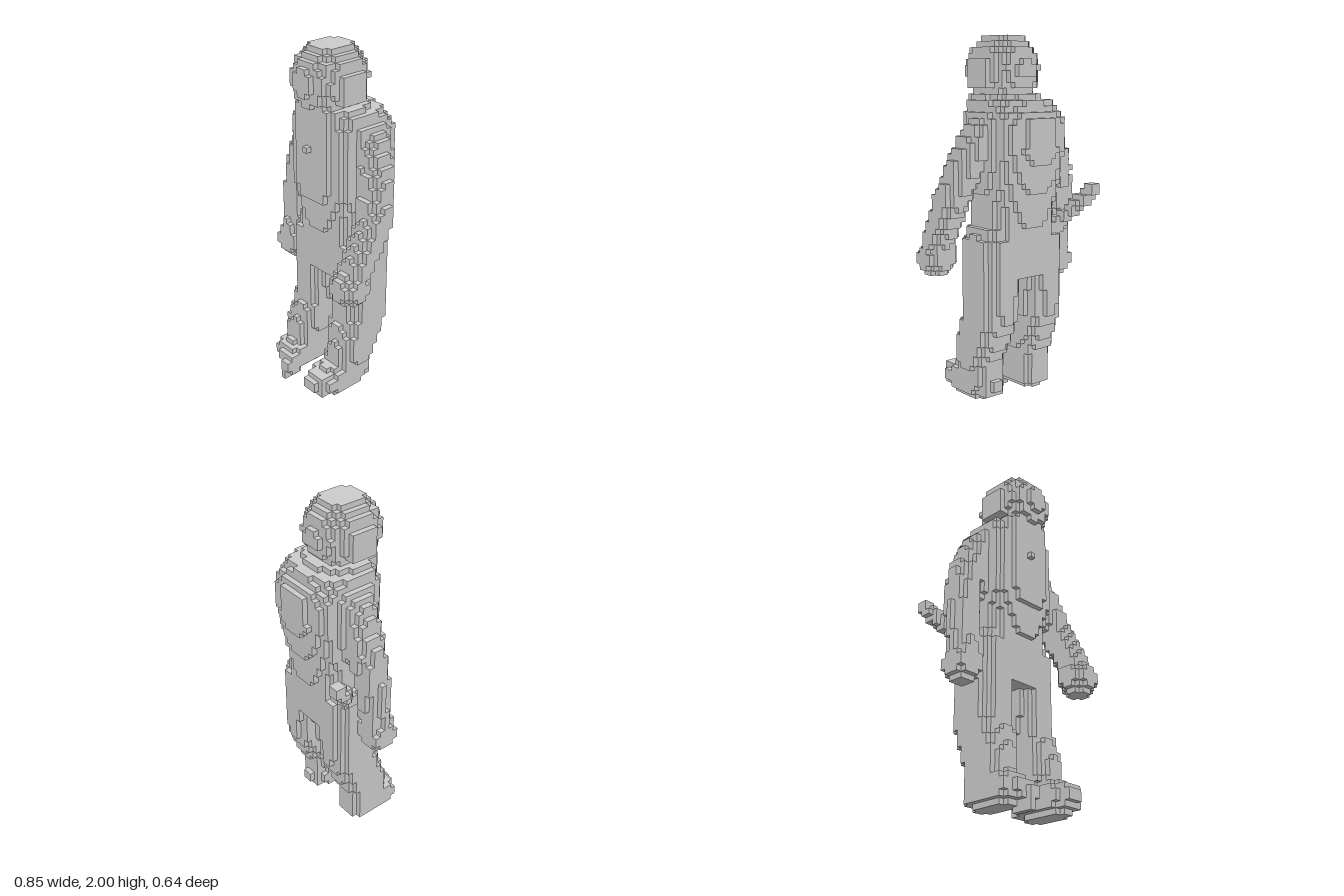
import * as THREE from 'three';

// Voxel grid: cubes of side S filling NX x NY x NZ cells
const S = 2 / 66, NX = 28, NY = 66, NZ = 21;

// Solid from stacked horizontal sections [y, centre x, centre z, radius x, radius z]
function stack(rows, n) {
  return (x, y, z) => {
    const i = rows.findIndex((row, k) => k > 0 && y >= rows[k - 1][0] && y <= row[0]);
    if (i < 0) return false;
    const a = rows[i - 1], b = rows[i];
    const t = (y - a[0]) / (b[0] - a[0]);
    const [, cx, cz, rx, rz] = a.map((v, k) => v + (b[k] - v) * t);
    return Math.abs((x - cx) / rx) ** n + Math.abs((z - cz) / rz) ** n <= 1;
  };
}

// Ellipsoid, squarer for larger n
function blob(c, r, n) {
  return (x, y, z) => Math.abs((x - c[0]) / r[0]) ** n
    + Math.abs((y - c[1]) / r[1]) ** n + Math.abs((z - c[2]) / r[2]) ** n <= 1;
}

// Round limb along a bent path, tapering from radius r0 to r1
function limb(path, r0, r1) {
  const pts = path.map((p) => new THREE.Vector3(...p));
  const bones = pts.slice(1).map((p, i) => new THREE.Line3(pts[i], p));
  const p = new THREE.Vector3(), q = new THREE.Vector3();
  return (x, y, z) => bones.some((bone, i) => {
    const t = bone.closestPointToPointParameter(p.set(x, y, z), true);
    return bone.at(t, q).distanceTo(p) <= r0 + (r1 - r0) * (i + t) / bones.length;
  });
}

// Leg narrowing from hip to ankle, side is 1 for left and -1 for right
function leg(side, ankleX) {
  return stack([
    [0.12, ankleX, 0.03, 0.085, 0.1], [0.22, ankleX, 0.045, 0.1, 0.118],
    [0.33, side * 0.17, 0.02, 0.108, 0.138], [0.5, side * 0.157, -0.04, 0.115, 0.145],
    [0.95, side * 0.145, -0.042, 0.125, 0.15]], 2.6);
}

// Every part as a name and an inside test
function makeParts() {
  const parts = [];
  const add = (name, inside) => parts.push({ name, inside, pos: [], nor: [] });

  add('head', blob([0, 1.83, 0.033], [0.176, 0.186, 0.194], 2));
  for (const [side, word] of [[1, 'left'], [-1, 'right']]) {
    add(word + 'EarPad', blob([side * 0.165, 1.805, 0.03], [0.02, 0.068, 0.075], 8));
  }

  add('torso', stack([
    [0.73, 0, -0.04, 0.265, 0.148], [0.98, 0, -0.045, 0.262, 0.16], [1.02, 0, -0.045, 0.212, 0.172],
    [1.12, 0, -0.045, 0.215, 0.185], [1.23, 0, -0.045, 0.24, 0.21], [1.4, 0, -0.06, 0.25, 0.226],
    [1.56, 0, -0.058, 0.25, 0.224], [1.66, 0, -0.02, 0.21, 0.19], [1.7, 0, 0.03, 0.145, 0.15]], 2.4));
  add('chestButton', blob([-0.5 * S, 48.5 * S, 6 * S], [S / 2, S / 2, S / 2], 2));

  add('leftArm', limb([[0.2, 1.5, -0.06], [0.29, 1.35, -0.02], [0.345, 1.15, 0.04], [0.345, 0.9, 0.17]], 0.1, 0.075));
  add('rightArm', limb([[-0.2, 1.5, -0.05], [-0.295, 1.3, -0.05], [-0.332, 1.1, -0.03], [-0.34, 0.75, 0]], 0.1, 0.07));
  add('leftHand', blob([0.33, 0.82, 0.195], [0.092, 0.092, 0.092], 2.2));
  add('rightHand', blob([-0.345, 0.765, 0], [0.085, 0.095, 0.085], 2.5));

  add('leftLeg', leg(1, 0.16));
  add('rightLeg', leg(-1, -0.185));
  add('leftFoot', blob([0.15, 0.12, 0.11], [0.093, 0.09, 0.21], 2.4));
  add('rightFoot', blob([-0.183, 0.12, 0.08], [0.102, 0.09, 0.172], 2.5));
  add('rightToe', blob([-0.13, 0.09, 0.235], [0.045, 0.06, 0.05], 2.5));
  add('rightToeTip', blob([-4.5 * S, 0.5 * S, 0.227], [S / 2, S / 2, 0.06], 6));

  add('hipRod', limb([[-0.23, 0.95, -0.1], [-0.365, 1.172, -0.285]], 0.042, 0.037));
  return parts;
}

export function createModel() {
  const group = new THREE.Group();
  const grey = new THREE.MeshStandardMaterial({ color: 0xcccccc });
  grey.name = 'grey';
  const parts = makeParts();

  // Give each cell to the first part that contains its centre
  const cells = new Uint8Array(NX * NY * NZ);
  const at = (i, j, k) => (i < 0 || j < 0 || k < 0 || i >= NX || j >= NY || k >= NZ)
    ? 0 : cells[(j * NZ + k) * NX + i];
  const corner = (i, j, k) => [(i - NX / 2) * S, j * S, (k - NZ / 2) * S];
  const eachCell = (fn) => {
    for (let j = 0; j < NY; j++) for (let k = 0; k < NZ; k++) for (let i = 0; i < NX; i++) fn(i, j, k);
  };
  eachCell((i, j, k) => {
    const c = corner(i + 0.5, j + 0.5, k + 0.5);
    cells[(j * NZ + k) * NX + i] = parts.findIndex((part) => part.inside(...c)) + 1;
  });

  // Collect the exposed cube faces of every part
  eachCell((i, j, k) => {
    const id = at(i, j, k);
    if (!id) return;
    const { pos, nor } = parts[id - 1];
    for (let axis = 0; axis < 3; axis++) for (const side of [1, -1]) {
      const n = [0, 0, 0];
      n[axis] = side;
      if (at(i + n[0], j + n[1], k + n[2])) continue;
      const u = (axis + 1) % 3, v = (axis + 2) % 3;
      const quad = [[0, 0], [1, 0], [1, 1], [0, 1]].map(([a, b]) => {
        const p = [i, j, k];
        p[axis] += side > 0 ? 1 : 0;
        p[u] += a;
        p[v] += b;
        return corner(...p);
      });
      if (side < 0) quad.reverse();
      for (const q of [0, 1, 2, 0, 2, 3]) { pos.push(...quad[q]); nor.push(...n); }
    }
  });

  for (const { name, pos, nor } of parts) {
    const geo = new THREE.BufferGeometry();
    geo.setAttribute('position', new THREE.Float32BufferAttribute(pos, 3));
    geo.setAttribute('normal', new THREE.Float32BufferAttribute(nor, 3));
    const mesh = new THREE.Mesh(geo, grey);
    mesh.name = name;
    group.add(mesh);
  }
  return group;
}
